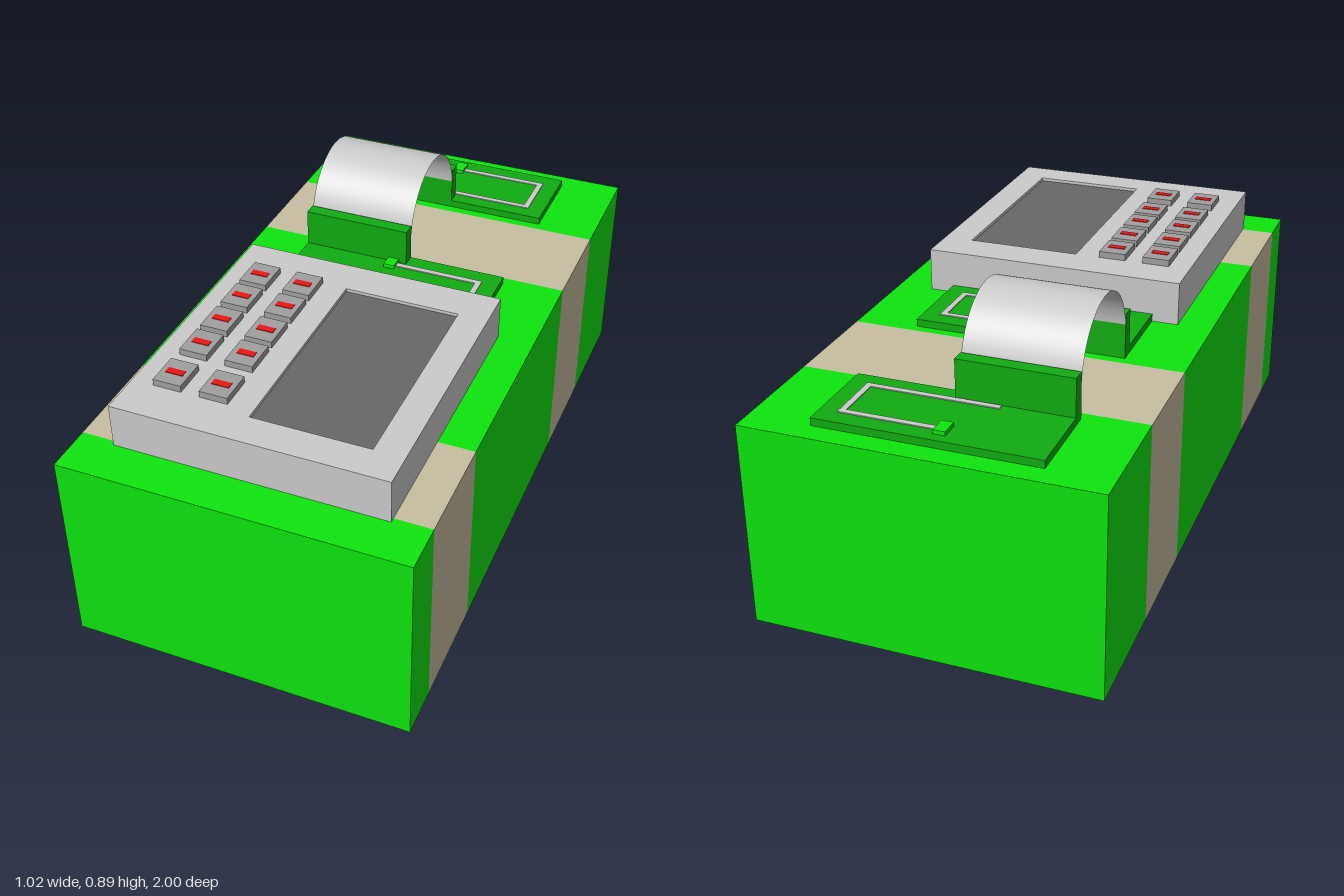
import * as THREE from 'three';

const paint = (color) => new THREE.MeshStandardMaterial({ color });
const grey = paint(0xcccccc);
const green = paint(0x0ee60e);
const tan = paint(0xc8bfa2);
const boardGreen = paint(0x11ac12);
const screenGrey = paint(0x686868);
const keyGrey = paint(0xa0a0a0);
const red = paint(0xf01414);

const TOP = 0.617; // top of the block
const CASE_TOP = 0.75;

export function createModel() {
  const model = new THREE.Group();

  function add(name, geometry, material, parent = model) {
    const mesh = new THREE.Mesh(geometry, material);
    mesh.name = name;
    parent.add(mesh);
    return mesh;
  }

  // box from its extents on each axis
  function box(name, [x0, x1], [y0, y1], [z0, z1], material, parent) {
    const geometry = new THREE.BoxGeometry(x1 - x0, y1 - y0, z1 - z0);
    const mesh = add(name, geometry, material, parent);
    mesh.position.set((x0 + x1) / 2, (y0 + y1) / 2, (z0 + z1) / 2);
    return mesh;
  }

  // block: alternating green and tan sleeves, flush with each other
  const cuts = [-1, -0.63, -0.305, 0.53, 0.855, 1];
  for (let i = 0; i < 5; i++) {
    const band = i % 2 === 1;
    const sleeve = box(band ? 'tapeBand' : 'blockSection', [-0.51, 0.51], [0, TOP],
      [cuts[i], cuts[i + 1]], band ? tan : green);
    const g = sleeve.geometry;
    g.setIndex(Array.from(g.index.array).slice(0, 24)); // drop the end caps
    g.clearGroups();
  }
  for (const s of [1, -1]) {
    const end = add(s > 0 ? 'frontEnd' : 'backEnd', new THREE.PlaneGeometry(1.02, TOP), green);
    end.position.set(0, TOP / 2, s);
    if (s < 0) end.rotation.y = Math.PI;
  }

  // keypad case with a shallow window for the screen
  const keypad = new THREE.Group();
  keypad.name = 'keypadUnit';
  model.add(keypad);
  const rect = (T, x0, x1, z0, z1) => new T([[x0, -z0], [x0, -z1], [x1, -z1], [x1, -z0]]
    .map(([x, y]) => new THREE.Vector2(x, y)));
  const outline = rect(THREE.Shape, -0.405, 0.4, 0, 0.87);
  outline.holes.push(rect(THREE.Path, -0.04, 0.31, 0.12, 0.77));
  const shell = new THREE.ExtrudeGeometry(outline, { depth: CASE_TOP - TOP, bevelEnabled: false });
  shell.rotateX(-Math.PI / 2);
  add('case', shell, grey, keypad).position.y = TOP;
  box('screen', [-0.04, 0.31], [TOP, CASE_TOP - 0.01], [0.12, 0.77], screenGrey, keypad);

  // two columns of five keys, each with a plain red mark
  for (const x of [-0.297, -0.158]) {
    for (const z of [0.17, 0.293, 0.42, 0.543, 0.693]) {
      box('key', [x - 0.042, x + 0.042], [CASE_TOP, 0.77], [z - 0.052, z + 0.052], keyGrey, keypad);
      box('keyMark', [x - 0.026, x + 0.026], [0.77, 0.772], [z - 0.011, z + 0.011], red, keypad);
    }
  }

  // circuit boards: plate, upright connector, lamp and a hooked trace
  function circuitBoard(name, z, connectorZ) {
    const board = new THREE.Group();
    board.name = name;
    board.position.z = z;
    model.add(board);
    const y = 0.64;
    box('plate', [-0.325, 0.325], [TOP, y], [-0.275, 0], boardGreen, board);
    box('connector', [-0.325, 0.015], [TOP, 0.755], [connectorZ, connectorZ + 0.042], boardGreen, board);
    box('lamp', [-0.045, -0.01], [y, y + 0.012], [-0.245, -0.19], green, board);
    const level = [y, y + 0.003];
    box('traceFar', [-0.01, 0.272], level, [-0.224, -0.206], grey, board);
    box('traceSide', [0.254, 0.272], level, [-0.206, -0.064], grey, board);
    box('traceNear', [-0.12, 0.272], level, [-0.064, -0.046], grey, board);
  }
  circuitBoard('frontBoard', 0, -0.275);
  circuitBoard('backBoard', -0.66, -0.042);

  // ribbon cable arching between the connectors
  const ribbonMaterial = paint(0xcccccc);
  ribbonMaterial.side = THREE.DoubleSide;
  const arch = new THREE.CylinderGeometry(0.194, 0.194, 0.34, 48, 1, true, 0, Math.PI);
  arch.rotateZ(Math.PI / 2); // axis along x, bulge upwards
  add('ribbonCable', arch, ribbonMaterial).position.set(-0.155, 0.696, -0.467);

  return model;
}
